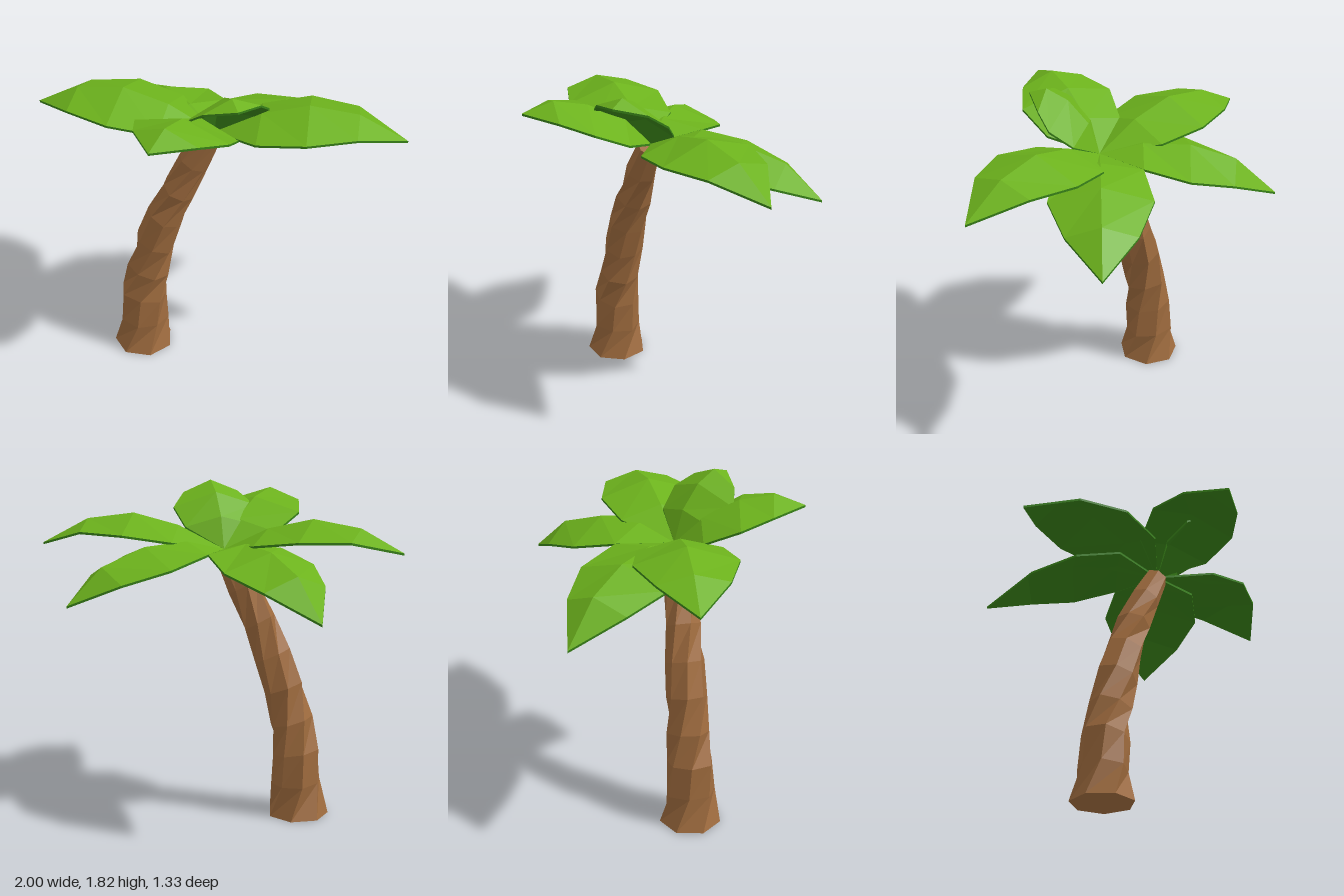
import * as THREE from 'three';

const bark = new THREE.MeshStandardMaterial({ color: 0x9d6a3d });
bark.name = 'bark brown';
const leafTop = new THREE.MeshStandardMaterial({ color: 0x6cb21c });
leafTop.name = 'leaf green';
const leafUnder = new THREE.MeshStandardMaterial({ color: 0x388218 });
leafUnder.name = 'dark leaf green';

const CROWN = [-0.015, 1.47, 0];
const THICKNESS = 0.012;
const WIDTHS = [0.225, 0.27, 0.183];

// Faceted geometry from a list of triangles of [x, y, z] corners
function facets(triangles) {
  const g = new THREE.BufferGeometry();
  g.setAttribute('position', new THREE.Float32BufferAttribute(triangles.flat(2), 3));
  g.computeVertexNormals();
  return g;
}

// Leaning trunk: rings of [y, centre x, radius], each ring turned and slightly uneven
function makeTrunk() {
  const rings = [
    [0, -0.44, 0.17], [0.18, -0.435, 0.135], [0.36, -0.43, 0.131],
    [0.53, -0.395, 0.118], [0.72, -0.35, 0.112], [0.9, -0.292, 0.105],
    [1.08, -0.215, 0.096], [1.27, -0.125, 0.084], [1.45, -0.028, 0.066],
  ];
  const sides = 7, last = rings.length - 1;
  const g = new THREE.CylinderGeometry(1, 1, 1, sides, last);
  const p = g.attributes.position;
  for (let i = 0; i < p.count; i++) {
    const k = Math.round((p.getY(i) + 0.5) * last);
    const [y, cx, r] = rings[k];
    const a = Math.atan2(p.getX(i), p.getZ(i));
    const side = Math.round((a / (2 * Math.PI)) * sides + sides) % sides;
    const uneven = k === 0 || k === last ? 1 : 1 + 0.06 * Math.sin(side * 2.4 + k * 1.9);
    const unit = Math.hypot(p.getX(i), p.getZ(i));
    const radius = unit * r * uneven;
    const turn = Math.PI + a + k * 0.32 + 0.12 * Math.sin(k * 2.1);
    const tilt = 0.5 * Math.min(1, k / 6);
    const dx = Math.sin(turn) * radius;
    // The foot is hollowed towards its centre
    const hollow = k === 0 && unit < 0.5 ? 0.14 : 0;
    p.setXYZ(i, cx + dx * Math.cos(tilt), y + hollow - dx * Math.sin(tilt), Math.cos(turn) * radius);
  }
  const flat = g.toNonIndexed();
  flat.computeVertexNormals();
  const trunk = new THREE.Mesh(flat, bark);
  trunk.name = 'trunk';
  return trunk;
}

// Folded leaf: rib and edge are [distance, height] from the crown, heading is [x, z]
function makeLeaf({ name, heading, rib, edge, tip, breadth = 1 }) {
  const len = Math.hypot(...heading);
  const [hx, hz] = heading.map((v) => v / len);
  const place = ([s, h], w) => [
    CROWN[0] + hx * s - hz * w, CROWN[1] + h, CROWN[2] + hz * s + hx * w,
  ];
  const base = place([0, 0], 0), end = place(tip, 0);
  const line = (pts, sign) =>
    [base, ...pts.map((q, i) => place(q, sign * breadth * WIDTHS[i])), end];
  const middle = line(rib, 0), right = line(edge, 1), left = line(edge, -1);
  const drop = ([x, y, z]) => [x, y - THICKNESS, z];

  const top = [];
  const strip = (a, b) => {
    for (let i = 0; i < 4; i++) {
      if (i > 0) top.push([a[i], b[i], b[i + 1]]);
      if (i < 3) top.push([a[i], b[i + 1], a[i + 1]]);
    }
  };
  strip(middle, right);
  strip(left, middle);

  // Underside copies the top face down, with a thin rim joining both skins
  const under = top.map(([a, b, c]) => [drop(c), drop(b), drop(a)]);
  const rim = (a, b) => under.push([a, drop(a), drop(b)], [a, drop(b), b]);
  for (let i = 0; i < 4; i++) {
    rim(right[i], right[i + 1]);
    rim(left[i + 1], left[i]);
  }

  const leaf = new THREE.Group();
  leaf.name = name;
  const upper = new THREE.Mesh(facets(top), leafTop);
  upper.name = 'leafUpperSkin';
  const lower = new THREE.Mesh(facets(under), leafUnder);
  lower.name = 'leafUnderside';
  leaf.add(upper, lower);
  return leaf;
}

export function createModel() {
  const model = new THREE.Group();
  model.name = 'palmTree';
  model.add(makeTrunk());

  // Mirrored pairs of long leaves, with slightly different tips
  const pairs = [
    { side: 'left', sx: 1, tip: [1.017, 0.01], backTip: [0.93, -0.22] },
    { side: 'right', sx: -1, tip: [0.989, 0.032], backTip: [0.95, -0.238] },
  ];
  for (const { side, sx, tip, backTip } of pairs) {
    model.add(makeLeaf({
      name: side + 'Leaf',
      heading: [sx, -0.085],
      rib: [[0.25, 0.125], [0.5, 0.187], [0.76, 0.15]],
      edge: [[0.24, 0.062], [0.5, 0.1], [0.755, 0.1]],
      tip,
    }));
    model.add(makeLeaf({
      name: side + 'BackLeaf',
      heading: [sx, -1],
      rib: [[0.23, 0.06], [0.48, 0.05], [0.73, -0.035]],
      edge: [[0.226, 0.02], [0.467, -0.035], [0.707, -0.105]],
      tip: backTip,
    }));
  }

  // Raised front leaf and the short steep one above it
  model.add(makeLeaf({
    name: 'frontLeaf',
    heading: [-0.185, 0.66],
    rib: [[0.14, 0.15], [0.34, 0.25], [0.52, 0.285]],
    edge: [[0.165, 0.09], [0.355, 0.18], [0.52, 0.225]],
    tip: [0.685, 0.23],
  }));
  model.add(makeLeaf({
    name: 'steepLeaf',
    heading: [0.5, 0.866],
    rib: [[0.06, 0.17], [0.17, 0.29], [0.287, 0.345]],
    edge: [[0.09, 0.115], [0.21, 0.21], [0.288, 0.28]],
    tip: [0.38, 0.315],
    breadth: 0.85,
  }));
  return model;
}
